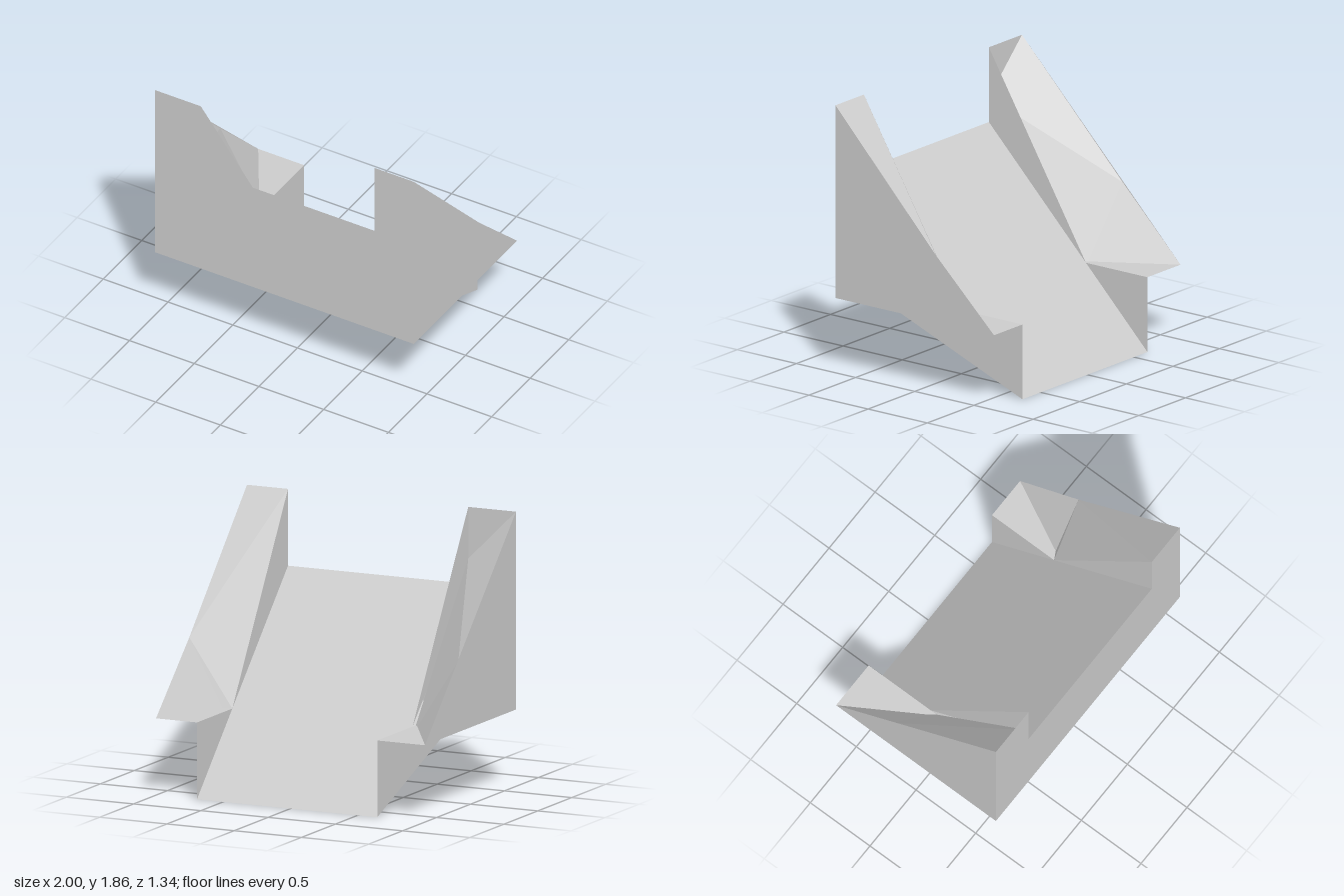
import * as THREE from 'three';

const grey = new THREE.MeshStandardMaterial({ color: 0xcccccc, side: THREE.DoubleSide, flatShading: true });
grey.name = 'light grey';

// Flat sheet from corners listed counter-clockwise as seen from outside
function panel(group, name, ...corners) {
  const position = [];
  for (let i = 1; i < corners.length - 1; i++) position.push(...corners[0], ...corners[i], ...corners[i + 1]);
  const geometry = new THREE.BufferGeometry();
  geometry.setAttribute('position', new THREE.Float32BufferAttribute(position, 3));
  geometry.computeVertexNormals();
  const mesh = new THREE.Mesh(geometry, grey);
  mesh.name = name;
  group.add(mesh);
}

export function createModel() {
  const model = new THREE.Group();
  model.name = 'walledRamp';
  const F = 0.67, B = -0.67;              // front and back depth
  const R = -0.645, L = 0.695;            // inner walls
  const TOP = 1.86, LIP = 1.34, MID = 0.52;

  // U-shaped front wall
  const outline = new THREE.Shape([
    [-1, MID], [1, MID], [1, TOP], [L, TOP], [L, LIP], [R, LIP], [R, TOP], [-1, TOP],
  ].map(([x, y]) => new THREE.Vector2(x, y)));
  const front = new THREE.Mesh(new THREE.ShapeGeometry(outline), grey);
  front.name = 'frontWall';
  front.position.z = F;
  model.add(front);

  // Sloping deck and its underside
  panel(model, 'rampDeck', [R, LIP, F], [L, LIP, F], [L, 0, B], [R, 0, B]);
  panel(model, 'rampUnderside', [R, MID, F], [R, 0, B], [L, 0, B], [L, MID, F]);

  // Left side block
  const left = new THREE.Group();
  left.name = 'leftSide';
  model.add(left);
  const crease = [1, 0.98, -0.18], dip = [0.725, 0.47, -0.18], meet = [L, MID, -0.15];
  panel(left, 'outerWall', [1, MID, F], [1, MID, B], crease, [1, TOP, F]);
  panel(left, 'innerWall', [L, TOP, F], meet, [L, LIP, F]);
  panel(left, 'steepTop', crease, dip, meet, [L, TOP, F], [1, TOP, F]);
  panel(left, 'lowerTop', dip, crease, [1, MID, B], [L, MID, B]);
  panel(left, 'dipFlap', meet, dip, [L, MID, B]);
  panel(left, 'flangeUnderside', [1, MID, F], [L, MID, F], [L, MID, B], [1, MID, B]);
  panel(left, 'lowerWall', [L, MID, F], [L, 0, B], [L, MID, B]);

  // Right side block, with its top sunk towards the deck
  const right = new THREE.Group();
  right.name = 'rightSide';
  model.add(right);
  const rim = [-1, 1.0, -0.18], sink = [R, 0.47, -0.14];
  panel(right, 'outerWall', [-1, MID, B], [-1, MID, F], [-1, TOP, F], rim);
  panel(right, 'innerWall', [R, TOP, F], [R, LIP, F], [R, MID, -0.15]);
  panel(right, 'steepTop', rim, [-1, TOP, F], [R, 1.51, F], sink);
  panel(right, 'middleTop', [-1, MID, B], rim, sink);
  panel(right, 'lowerTop', [-1, MID, B], sink, [R, MID, B]);
  panel(right, 'flangeUnderside', [-1, MID, F], [-1, MID, B], [R, MID, B], [R, MID, F]);
  panel(right, 'lowerWall', [R, MID, F], [R, MID, B], [R, 0, B]);

  return model;
}
